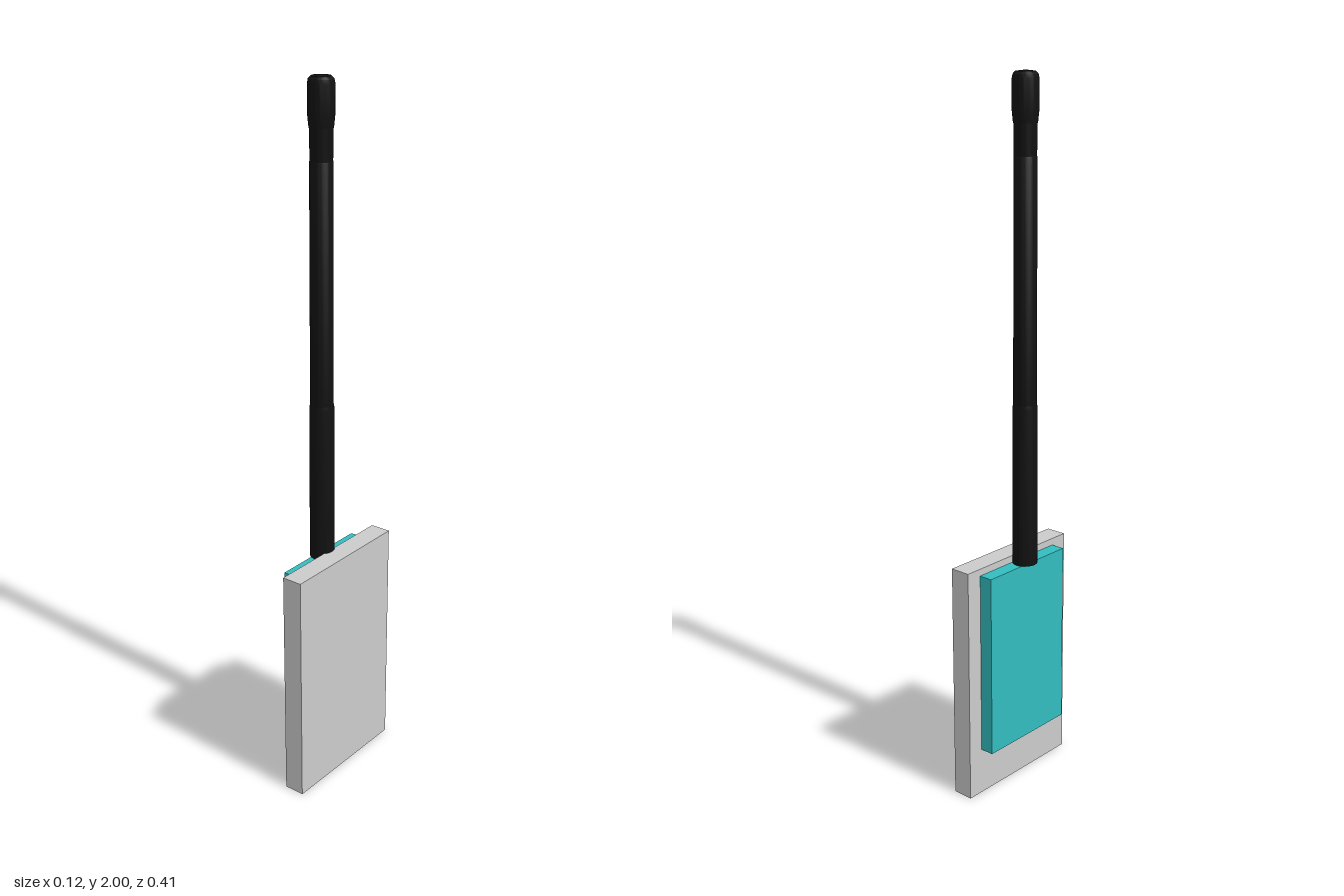
import * as THREE from 'three';
import { toCreasedNormals } from 'three/addons/utils/BufferGeometryUtils.js';

export function createModel() {
  const model = new THREE.Group();
  const grey = new THREE.MeshStandardMaterial({ color: 0xcccccc });
  const teal = new THREE.MeshStandardMaterial({ color: 0x33bdc0 });
  const black = new THREE.MeshStandardMaterial({ color: 0x111111 });

  // Box given by its minimum and maximum corners
  function box(name, min, max, material) {
    const size = max.map((v, i) => v - min[i]);
    const mesh = new THREE.Mesh(new THREE.BoxGeometry(...size), material);
    mesh.position.set(...max.map((v, i) => (v + min[i]) / 2));
    mesh.name = name;
    model.add(mesh);
  }

  // Turned part of the antenna, profile as [radius, height] pairs
  const antenna = new THREE.Group();
  antenna.name = 'antenna';
  antenna.position.x = -0.025;
  model.add(antenna);
  function turned(name, profile) {
    const points = profile.map(([r, y]) => new THREE.Vector2(r, y));
    const geometry = toCreasedNormals(new THREE.LatheGeometry(points, 40), 0.5);
    const mesh = new THREE.Mesh(geometry, black);
    mesh.name = name;
    antenna.add(mesh);
  }

  // Backing plate and the circuit board fixed to its side
  box('backPlate', [0, 0, -0.205], [0.06, 0.69, 0.203], grey);
  box('circuitBoard', [-0.04, 0.137, -0.157], [0, 0.67, 0.15], teal);

  // Antenna: thick sleeve, slim rod, narrow neck and rounded cap
  turned('antennaSleeve', [[0, 0.67], [0.035, 0.67], [0.034, 1.12], [0.031, 1.135], [0, 1.135]]);
  turned('antennaRod', [[0, 1.13], [0.032, 1.13], [0.031, 1.785], [0.029, 1.79], [0, 1.79]]);
  turned('antennaNeck', [[0, 1.785], [0.03, 1.785], [0.031, 1.9], [0, 1.9]]);
  turned('antennaCap', [[0, 1.87], [0.032, 1.87], [0.035, 1.9], [0.035, 1.98], [0.033, 1.99], [0.026, 1.997], [0, 2]]);

  return model;
}
